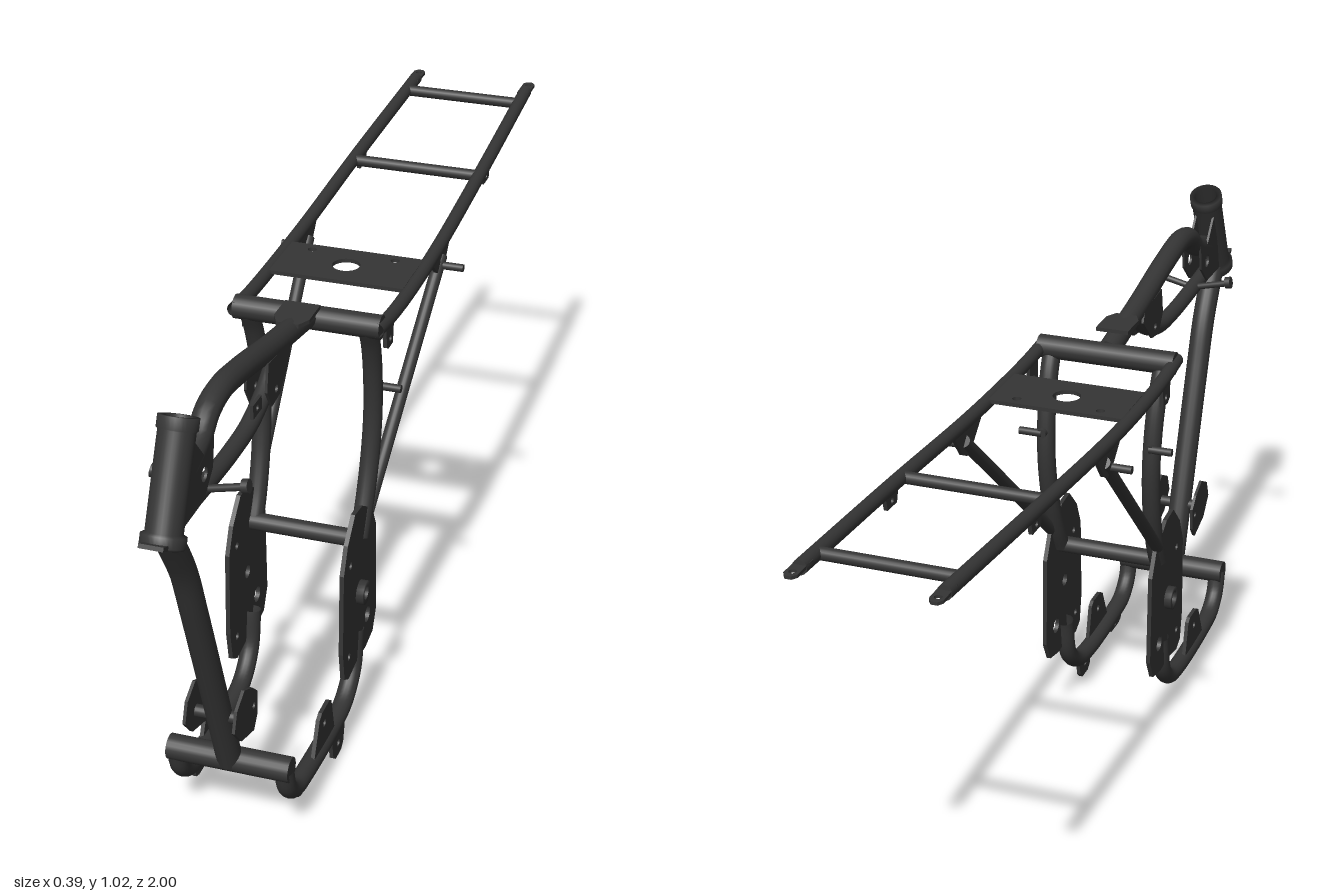
import * as THREE from 'three';

const steel = new THREE.MeshStandardMaterial({ color: 0x353535, side: THREE.DoubleSide });
steel.name = 'black painted steel';

export function createModel() {
  const root = new THREE.Group();
  root.name = 'tubularFrame';
  const V = (x, y, z) => new THREE.Vector3(x, y, z);

  function add(name, geometry, parent = root) {
    const mesh = new THREE.Mesh(geometry, steel);
    mesh.name = name;
    parent.add(mesh);
    return mesh;
  }
  // Bent pipe through [x, y, z] points
  function pipe(name, points, radius, segments = 40) {
    const curve = new THREE.CatmullRomCurve3(points.map(p => V(...p)), false, 'centripetal');
    return add(name, new THREE.TubeGeometry(curve, segments, radius, 16));
  }
  // Straight capped bar between two points
  function bar(name, a, b, radius) {
    const from = V(...a), to = V(...b), dir = to.clone().sub(from);
    const mesh = add(name, new THREE.CylinderGeometry(radius, radius, dir.length(), 20));
    mesh.position.copy(from).add(to).multiplyScalar(0.5);
    mesh.quaternion.setFromUnitVectors(V(0, 1, 0), dir.normalize());
    return mesh;
  }
  function crossBar(name, halfWidth, y, z, radius) {
    return bar(name, [-halfWidth, y, z], [halfWidth, y, z], radius);
  }
  function plateGeometry(outline, holes, thickness) {
    const shape = new THREE.Shape(outline.map(p => new THREE.Vector2(...p)));
    for (const [u, v, r] of holes) {
      const hole = new THREE.Path();
      hole.absarc(u, v, r, 0, Math.PI * 2, true);
      shape.holes.push(hole);
    }
    const geo = new THREE.ExtrudeGeometry(shape, { depth: thickness, bevelEnabled: false, curveSegments: 16 });
    return geo.translate(0, 0, -thickness / 2);
  }
  // Upright plate given by [z, y] corners, standing at x
  function sidePlate(name, x, outline, holes = [], thickness = 0.008) {
    const mesh = add(name, plateGeometry(outline, holes, thickness).rotateY(-Math.PI / 2));
    mesh.position.x = x;
    return mesh;
  }
  // Level plate given by [x, z] corners, lying at y
  function flatPlate(name, y, outline, holes = [], thickness = 0.008) {
    const mesh = add(name, plateGeometry(outline, holes, thickness).rotateX(Math.PI / 2));
    mesh.position.y = y;
    return mesh;
  }

  // Steering head: hollow tube with bearing cups and a steering stop
  const head = new THREE.Group();
  head.name = 'steeringHead';
  head.position.set(0, 0.802, 0.948);
  head.rotation.x = Math.atan2(-0.093, 0.2);
  root.add(head);
  const headProfile = [[0.024, 0], [0.037, 0], [0.04, 0.004], [0.04, 0.022], [0.033, 0.026],
    [0.033, 0.198], [0.036, 0.2], [0.036, 0.222], [0.024, 0.222], [0.024, 0]];
  add('headTube', new THREE.LatheGeometry(headProfile.map(p => new THREE.Vector2(...p)), 32), head);
  const stop = add('steeringStop', new THREE.BoxGeometry(0.045, 0.008, 0.03), head);
  stop.position.set(0, 0.006, 0.041);

  // Spine, lower spine brace and down tube
  pipe('backbone', [[0, 0.89, 0.84], [0, 0.915, 0.77], [0, 0.945, 0.73], [0, 0.957, 0.67],
    [0, 0.945, 0.57], [0, 0.91, 0.4], [0, 0.875, 0.2]], 0.023);
  pipe('lowerBrace', [[0, 0.825, 0.92], [0, 0.815, 0.8], [0, 0.806, 0.62], [0, 0.812, 0.52],
    [0, 0.84, 0.44], [0, 0.885, 0.37]], 0.017);
  pipe('downTube', [[0, 0.825, 0.935], [0, 0.77, 0.9], [0, 0.7, 0.86], [0, 0.6, 0.822],
    [0, 0.3, 0.715], [0, 0.165, 0.668]], 0.025);
  for (const x of [-0.02, 0.02]) {
    sidePlate('headGusset', x, [[0.86, 0.97], [0.9, 0.82], [0.81, 0.82], [0.765, 0.86], [0.755, 0.92], [0.8, 0.9]],
      [[0.805, 0.868, 0.014]], 0.005);
    sidePlate('spineGusset', x, [[0.48, 0.915], [0.49, 0.86], [0.465, 0.82], [0.42, 0.825], [0.36, 0.88], [0.37, 0.905]],
      [[0.44, 0.845, 0.008]], 0.005);
  }
  sidePlate('coilTab', 0.018, [[0.56, 0.87], [0.56, 0.842], [0.515, 0.842], [0.515, 0.87]], [[0.538, 0.856, 0.006]], 0.006);
  flatPlate('tankPad', 0.91, [[-0.035, 0.225], [-0.035, 0.29], [-0.022, 0.315], [0.022, 0.315], [0.035, 0.29], [0.035, 0.225]]);

  // Cross members
  crossBar('frontCrossTube', 0.122, 0.165, 0.665, 0.025);
  crossBar('middleCrossTube', 0.118, 0.408, 0.22, 0.018);
  crossBar('upperCrossTube', 0.147, 0.87, 0.195, 0.024);
  crossBar('seatCrossTube', 0.142, 0.884, -0.52, 0.012);
  crossBar('tailCrossTube', 0.132, 0.907, -0.89, 0.012);

  // Seat plate between the rails
  flatPlate('seatPlate', 0.868, [[-0.138, 0.03], [0.138, 0.03], [0.138, -0.11], [-0.138, -0.11]],
    [[0, -0.04, 0.028], [-0.087, -0.087, 0.009], [0.087, -0.087, 0.009]]);

  // Everything that repeats on both sides
  for (const s of [-1, 1]) {
    pipe('seatRail', [[s * 0.143, 0.872, 0.215], [s * 0.145, 0.863, 0.12], [s * 0.146, 0.86, 0],
      [s * 0.145, 0.864, -0.2], [s * 0.14, 0.886, -0.55], [s * 0.13, 0.911, -0.955]], 0.014);
    pipe('upright', [[s * 0.12, 0.87, 0.2], [s * 0.119, 0.82, 0.175], [s * 0.117, 0.75, 0.155],
      [s * 0.115, 0.65, 0.146], [s * 0.113, 0.55, 0.16], [s * 0.111, 0.46, 0.19], [s * 0.11, 0.41, 0.215]], 0.019);
    pipe('cradleTube', [[s * 0.108, 0.165, 0.668], [s * 0.108, 0.115, 0.652], [s * 0.108, 0.083, 0.615],
      [s * 0.108, 0.073, 0.56], [s * 0.108, 0.066, 0.37], [s * 0.109, 0.08, 0.305],
      [s * 0.11, 0.125, 0.258], [s * 0.11, 0.21, 0.24]], 0.019, 50);
    bar('rearStrut', [s * 0.118, 0.455, 0.185], [s * 0.143, 0.83, -0.225], 0.013);

    // Swing arm pivot plate and boss
    sidePlate('pivotPlate', s * 0.118, [[0.28, 0.5], [0.235, 0.495], [0.17, 0.455], [0.142, 0.4], [0.137, 0.2],
      [0.16, 0.155], [0.21, 0.145], [0.26, 0.15], [0.32, 0.14], [0.345, 0.155], [0.356, 0.22], [0.35, 0.4], [0.325, 0.455]],
      [[0.25, 0.305, 0.014], [0.197, 0.218, 0.017], [0.317, 0.192, 0.008], [0.307, 0.4, 0.008]], 0.009);
    const ring = [[0.014, -0.011], [0.025, -0.011], [0.025, 0.011], [0.014, 0.011], [0.014, -0.011]];
    const boss = add('pivotBoss', new THREE.LatheGeometry(ring.map(p => new THREE.Vector2(...p)), 24));
    boss.rotation.z = Math.PI / 2;
    boss.position.set(s * 0.126, 0.305, 0.25);

    // Engine mounts
    sidePlate('frontEngineMount', s * 0.048, [[0.715, 0.365], [0.755, 0.345], [0.77, 0.305], [0.735, 0.265],
      [0.67, 0.245], [0.65, 0.27], [0.648, 0.32], [0.675, 0.345]], [[0.668, 0.3, 0.007]], 0.006);
    bar('mountSpacer', [0, 0.3, 0.715], [s * 0.047, 0.3, 0.715], 0.012);
    sidePlate('lowerEngineMount', s * 0.115, [[0.525, 0.08], [0.49, 0.155], [0.475, 0.163], [0.43, 0.163],
      [0.418, 0.155], [0.4, 0.08]], [[0.46, 0.13, 0.008]]);
    sidePlate('cradleTab', s * 0.105, [[0.595, 0.07], [0.59, 0.042], [0.575, 0.036], [0.525, 0.036], [0.51, 0.045], [0.505, 0.07]],
      [[0.55, 0.045, 0.005]]);

    // Brackets and pegs along the rails
    sidePlate('strutGusset', s * 0.144, [[-0.125, 0.862], [-0.19, 0.805], [-0.215, 0.795], [-0.235, 0.805], [-0.285, 0.868]],
      [[-0.21, 0.825, 0.008]]);
    sidePlate('railTab', s * 0.143, [[0.165, 0.86], [0.162, 0.81], [0.15, 0.803], [0.122, 0.803], [0.115, 0.86]],
      [[0.138, 0.82, 0.007]]);
    sidePlate('rearRailTab', s * 0.139, [[-0.545, 0.885], [-0.555, 0.85], [-0.595, 0.85], [-0.605, 0.885]], [[-0.575, 0.862, 0.006]]);
    bar('strutPeg', [s * 0.138, 0.816, -0.21], [s * 0.195, 0.816, -0.21], 0.008);
    bar('uprightPeg', [s * 0.117, 0.705, 0.125], [s * 0.166, 0.705, 0.125], 0.008);
    bar('uprightPegBase', [s * 0.117, 0.705, 0.15], [s * 0.117, 0.705, 0.12], 0.01);

    // Tank support arm
    bar('tankArm', [0, 0.815, 0.77], [s * 0.085, 0.835, 0.77], 0.007);
    bar('tankArmCap', [s * 0.078, 0.835, 0.77], [s * 0.09, 0.837, 0.77], 0.013);

    // Tail end cap and tab
    bar('railEnd', [s * 0.13, 0.9105, -0.948], [s * 0.13, 0.911, -0.957], 0.014);
    const c = s * 0.13;
    flatPlate('tailTab', 0.913, [[c - 0.013, -0.93], [c + 0.013, -0.93], [c + 0.013, -0.99], [c + 0.006, -1],
      [c - 0.006, -1], [c - 0.013, -0.99]], [[c, -0.982, 0.007]], 0.006);
  }

  // Stand bracket on the left only
  sidePlate('standBracket', 0.118, [[0.425, 0.07], [0.415, 0.012], [0.4, 0], [0.365, 0], [0.352, 0.012], [0.338, 0.07]],
    [[0.383, 0.028, 0.008]]);
  return root;
}
